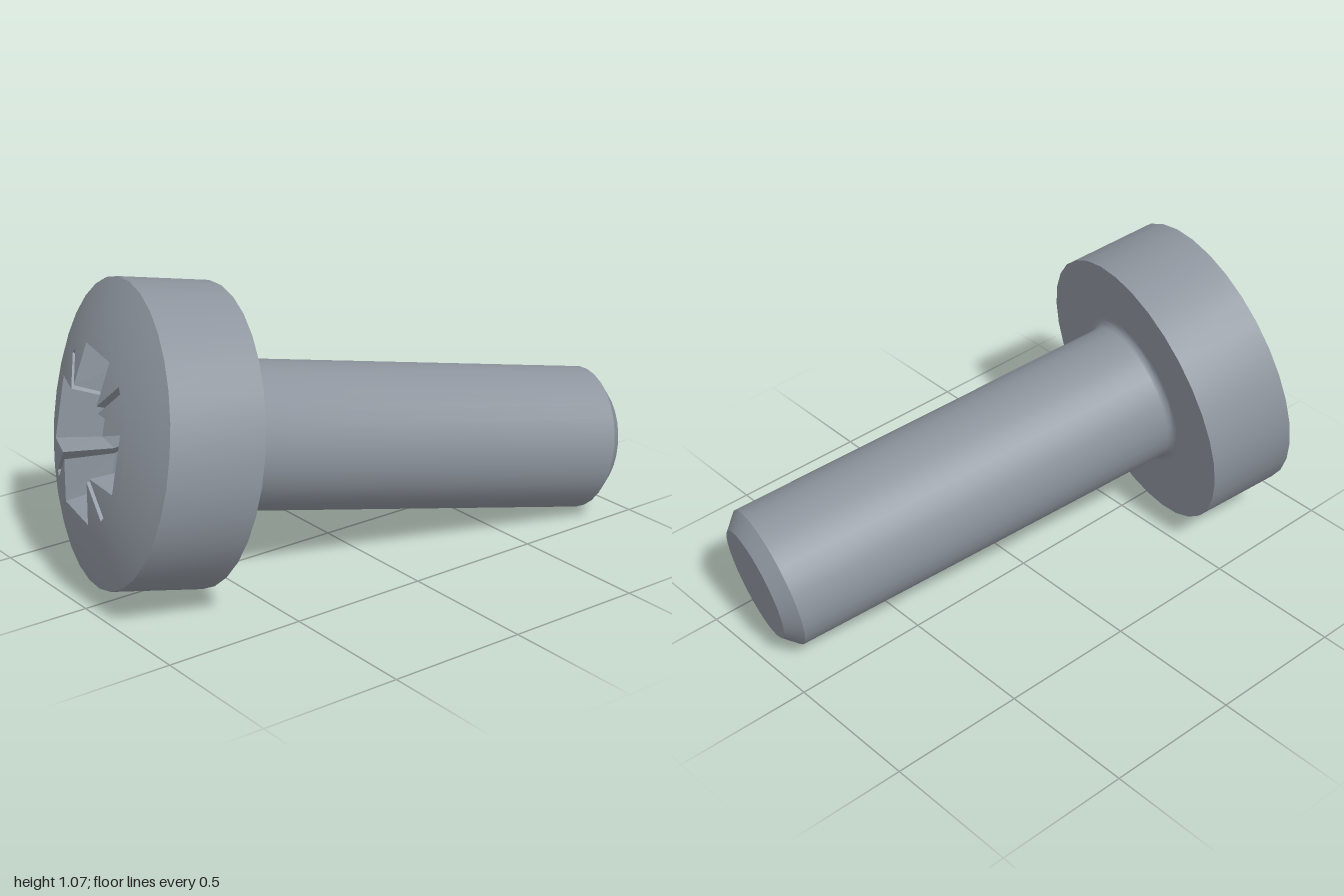
import * as THREE from 'three';
import { toCreasedNormals } from 'three/addons/utils/BufferGeometryUtils.js';

const SEG = 32;
const HEAD_R = 0.513, SHANK_R = 0.2565, LENGTH = 1.54, SIDE = 0.322;
const DOME_R = 1.25, DOME_RISE = 0.11, RING_R = 0.32;
const domeCentre = SIDE + DOME_RISE - DOME_R;
const domeY = r => domeCentre + Math.sqrt(DOME_R * DOME_R - r * r);

// Turned part from [radius, height] pairs, listed bottom to top
function turned(points) {
  const g = new THREE.LatheGeometry(points.map(([r, y]) => new THREE.Vector2(r, y)), SEG);
  return toCreasedNormals(g, 0.5);
}

// Outline of the driver recess: four wide wings with a narrow groove between each pair
function recessOutline(wingEnd, half, grooveEnd, grooveHalf) {
  const k = Math.SQRT1_2, inner = half + grooveHalf / k;
  const quarter = [
    [wingEnd, -half], [wingEnd, half], [inner, half],
    [(grooveEnd + grooveHalf) * k, (grooveEnd - grooveHalf) * k],
    [(grooveEnd - grooveHalf) * k, (grooveEnd + grooveHalf) * k],
    [half, inner],
  ];
  const out = [];
  for (let q = 0; q < 4; q++) {
    const turn = q * Math.PI / 2;
    for (const [x, y] of quarter) {
      out.push(new THREE.Vector2(x, y).rotateAround(new THREE.Vector2(), turn));
    }
  }
  return out;
}

// Domed centre of the head, pierced by the recess
function domeCentreGeometry(outline) {
  const circle = [];
  for (let i = 0; i < SEG; i++) {
    const t = i / SEG * Math.PI * 2;
    circle.push(new THREE.Vector2(Math.cos(t) * RING_R, Math.sin(t) * RING_R));
  }
  const shape = new THREE.Shape(circle);
  shape.holes.push(new THREE.Path(outline.slice().reverse()));
  const g = new THREE.ShapeGeometry(shape);
  g.rotateX(-Math.PI / 2);
  const p = g.attributes.position, n = g.attributes.normal, v = new THREE.Vector3();
  for (let i = 0; i < p.count; i++) {
    p.setY(i, domeY(Math.hypot(p.getX(i), p.getZ(i))));
    v.fromBufferAttribute(p, i);
    v.y -= domeCentre;
    v.normalize();
    n.setXYZ(i, v.x, v.y, v.z);
  }
  return g;
}

// Tapered recess walls and a shallow pointed floor
function recessGeometry(top, bottom, floorY, tipY) {
  const pos = [];
  const up = p => [p.x, domeY(p.length()), -p.y];
  const low = p => [p.x, floorY, -p.y];
  for (let i = 0; i < top.length; i++) {
    const j = (i + 1) % top.length;
    const ti = up(top[i]), tj = up(top[j]), bi = low(bottom[i]), bj = low(bottom[j]);
    pos.push(...bi, ...tj, ...bj, ...bi, ...ti, ...tj);
    pos.push(0, tipY, 0, ...bi, ...bj);
  }
  const g = new THREE.BufferGeometry();
  g.setAttribute('position', new THREE.Float32BufferAttribute(pos, 3));
  g.computeVertexNormals();
  return g;
}

export function createModel() {
  const steel = new THREE.MeshStandardMaterial({ color: 0x8e959e });
  steel.name = 'steel grey';
  const group = new THREE.Group();
  group.name = 'screw';
  const add = (name, geometry) => {
    const mesh = new THREE.Mesh(geometry, steel);
    mesh.name = name;
    group.add(mesh);
  };

  // Shank with chamfered tip and a fillet under the head
  const fillet = 0.028, chamfer = 0.052;
  const shank = [[0, -LENGTH], [SHANK_R - chamfer, -LENGTH], [SHANK_R, -LENGTH + chamfer]];
  for (let i = 0; i <= 6; i++) {
    const t = i / 6 * Math.PI / 2;
    shank.push([SHANK_R + fillet * (1 - Math.cos(t)), -fillet * (1 - Math.sin(t))]);
  }
  add('shank', turned(shank));

  // Head underside, side wall and outer dome
  const head = [[SHANK_R + fillet, 0], [HEAD_R, 0]];
  for (let i = 0; i <= 6; i++) {
    const r = HEAD_R + (RING_R - HEAD_R) * i / 6;
    head.push([r, domeY(r)]);
  }
  add('head', turned(head));

  // Head centre and driver recess
  const top = recessOutline(0.275, 0.11, 0.305, 0.013);
  const bottom = recessOutline(0.215, 0.085, 0.2, 0.009);
  add('headCentre', domeCentreGeometry(top));
  add('driverRecess', recessGeometry(top, bottom, 0.255, 0.18));

  // Lean the screw so the head faces left and the tip dips forward
  const y = new THREE.Vector3(-0.964, 0.171, -0.203).normalize();
  const x = new THREE.Vector3(0, 1, 0).cross(y).normalize().negate();
  const z = new THREE.Vector3().crossVectors(x, y);
  group.quaternion.setFromRotationMatrix(new THREE.Matrix4().makeBasis(x, y, z));
  group.position.set(-0.54, 0.51, 0.005);

  const model = new THREE.Group();
  model.name = 'model';
  model.add(group);
  return model;
}
